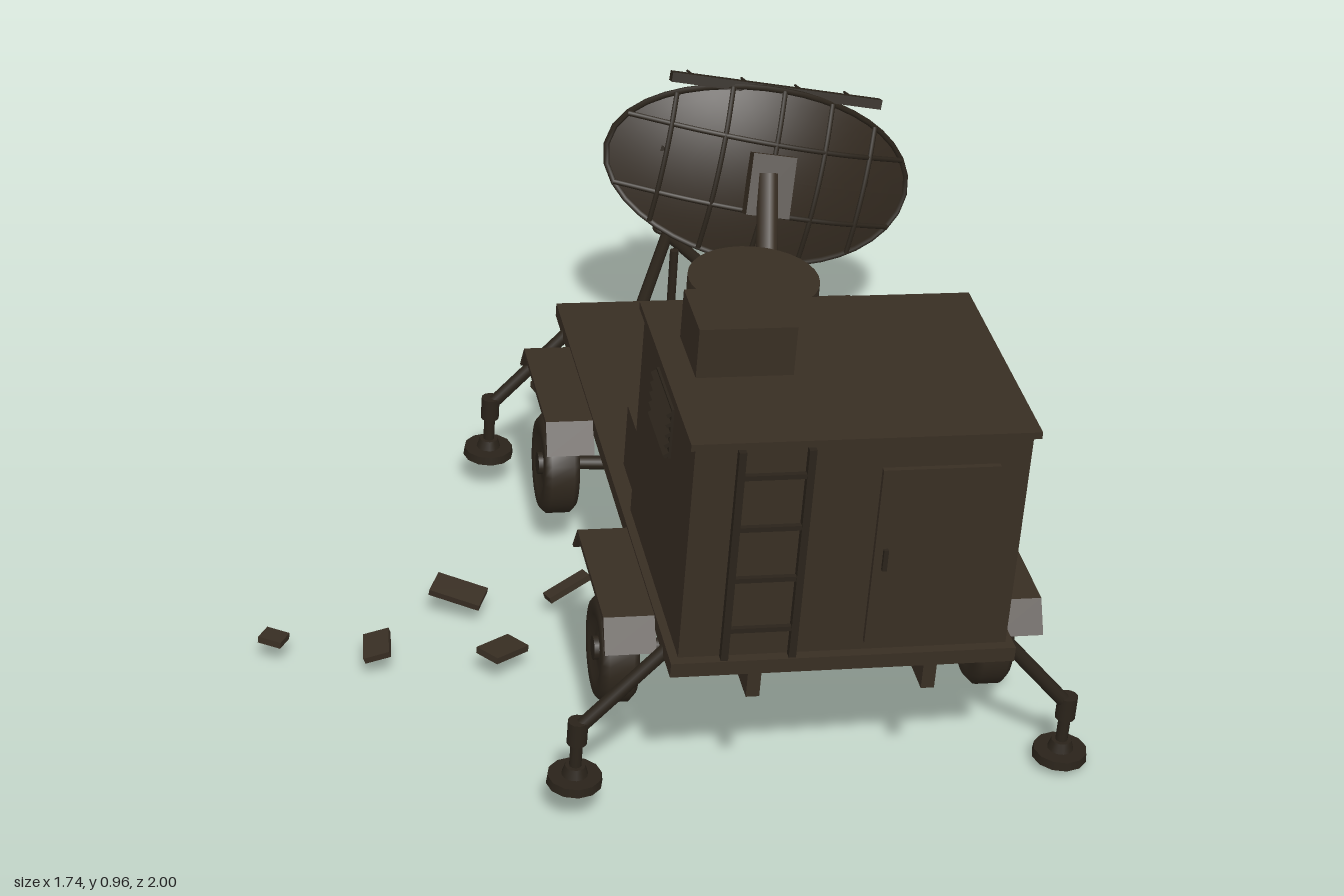
import * as THREE from 'three';

const paint = new THREE.MeshStandardMaterial({ color: 0x382e23 });
const metal = new THREE.MeshStandardMaterial({ color: 0x2a231a });
const rubber = new THREE.MeshStandardMaterial({ color: 0x2f271d });
const dishPaint = new THREE.MeshStandardMaterial({ color: 0x32291f, side: THREE.DoubleSide });

const V = (x, y, z) => new THREE.Vector3(x, y, z);
const shape = pts => new THREE.Shape(pts.map(p => new THREE.Vector2(...p)));

function add(parent, name, geo, mat, pos = [0, 0, 0], rot = [0, 0, 0]) {
  const m = new THREE.Mesh(geo, mat);
  m.name = name;
  m.position.set(...pos);
  m.rotation.set(...rot);
  parent.add(m);
  return m;
}

// box given by its min and max corners
function block(parent, name, mat, [x0, x1], [y0, y1], [z0, z1]) {
  return add(parent, name, new THREE.BoxGeometry(x1 - x0, y1 - y0, z1 - z0), mat,
    [(x0 + x1) / 2, (y0 + y1) / 2, (z0 + z1) / 2]);
}

// round bar between two points
function rod(parent, name, a, b, r, mat = metal, sides = 10) {
  const m = add(parent, name, new THREE.CylinderGeometry(r, r, a.distanceTo(b), sides), mat);
  m.position.copy(a).lerp(b, 0.5);
  m.quaternion.setFromUnitVectors(V(0, 1, 0), b.clone().sub(a).normalize());
  return m;
}

function group(parent, name) {
  const g = new THREE.Group();
  g.name = name;
  parent.add(g);
  return g;
}

function buildShelter(trailer) {
  const g = group(trailer, 'shelter');
  block(g, 'shelterWalls', paint, [-0.316, 0.318], [0, 0.455], [0.458, 0.974]);
  block(g, 'shelterRoof', paint, [-0.326, 0.331], [0.454, 0.468], [0.448, 0.982]);
  block(g, 'roofUnit', paint, [-0.273, -0.086], [0.468, 0.57], [0.588, 0.745]);
  block(g, 'door', paint, [0.037, 0.26], [0.02, 0.4], [0.974, 0.985]);
  block(g, 'doorHandle', metal, [0.053, 0.062], [0.185, 0.23], [0.985, 0.993]);
  // ladder
  for (const x of [-0.231, -0.101]) block(g, 'ladderRail', metal, [x - 0.007, x + 0.007], [0, 0.453], [0.976, 0.992]);
  for (let i = 0; i < 4; i++) {
    const y = 0.064 + i * 0.111;
    block(g, 'ladderRung', metal, [-0.231, -0.101], [y - 0.005, y + 0.005], [0.98, 0.99]);
  }
  // louvred vents on both side walls
  for (const s of [-1, 1]) {
    add(g, 'ventPanel', new THREE.BoxGeometry(0.006, 0.105, 0.16), metal, [s * 0.318, 0.369, 0.7]);
    for (let i = 0; i < 5; i++) {
      add(g, 'ventSlat', new THREE.BoxGeometry(0.022, 0.008, 0.16), metal, [s * 0.32, 0.325 + i * 0.022, 0.7], [0, 0, -s * 0.5]);
    }
  }
}

function buildTurret(trailer) {
  const g = group(trailer, 'turret');
  g.position.set(0, 0, 0.033);
  add(g, 'turretBody', new THREE.CylinderGeometry(0.105, 0.105, 0.26, 32), paint, [0, 0.13, 0]);
  add(g, 'turretFlange', new THREE.CylinderGeometry(0.138, 0.138, 0.034, 32), paint, [0, 0.27, 0]);
  // radial gussets
  const fin = shape([[0.09, 0], [0.144, 0], [0.138, 0.03], [0.112, 0.15], [0.09, 0.15]]);
  const geo = new THREE.ExtrudeGeometry(fin, { depth: 0.014, bevelEnabled: false }).translate(0, 0, -0.007);
  for (const a of [0.7, Math.PI - 0.7, Math.PI + 0.7, -0.7]) add(g, 'turretGusset', geo, paint, [0, 0, 0], [0, a, 0]);
}

function buildRunningGear(trailer) {
  // dished wheel with tyre, closed to the hub
  const half = [[0.022, 0.03], [0.055, 0.026], [0.066, 0.036], [0.095, 0.037], [0.108, 0.024]];
  const profile = [...half.map(([r, y]) => [r, -y]), ...half.slice().reverse()].map(p => new THREE.Vector2(...p));
  const tyre = new THREE.LatheGeometry(profile, 28);
  // angled mudguard plate
  const guard = shape([[-0.195, -0.065], [-0.155, -0.005], [0.155, -0.005], [0.195, -0.065], [0.185, -0.065],
    [0.148, -0.016], [-0.148, -0.016], [-0.185, -0.065]]);
  const guardGeo = new THREE.ExtrudeGeometry(guard, { depth: 0.1, bevelEnabled: false }).translate(0, 0, -0.05).rotateY(-Math.PI / 2);
  // the rear axle has dropped on one side
  for (const [z, yLeft, yRight] of [[0.67, -0.181, -0.181], [-0.054, -0.236, -0.2]]) {
    rod(trailer, 'axle', V(0.37, yLeft, z), V(-0.37, yRight, z), 0.015);
    for (const [s, y] of [[1, yLeft], [-1, yRight]]) {
      const w = group(trailer, 'wheel');
      w.position.set(s * 0.377, y, z);
      w.rotation.z = Math.PI / 2;
      add(w, 'tyre', tyre, rubber);
      add(w, 'wheelHub', new THREE.CylinderGeometry(0.024, 0.024, 0.08, 16), metal);
      add(trailer, 'mudguard', guardGeo, paint, [s * 0.382, 0, z]);
      block(trailer, 'axleHanger', metal, [s * 0.17 - 0.015, s * 0.17 + 0.015], [y, -0.07], [z - 0.03, z + 0.03]);
    }
  }
}

function buildOutriggers(trailer) {
  for (const z of [0.91, -0.302]) for (const s of [-1, 1]) {
    const g = group(trailer, 'outrigger');
    rod(g, 'outriggerArm', V(s * 0.32, -0.02, z), V(s * 0.485, -0.2, z), 0.014);
    add(g, 'outriggerSleeve', new THREE.CylinderGeometry(0.02, 0.02, 0.05, 12), metal, [s * 0.484, -0.205, z]);
    rod(g, 'outriggerPost', V(s * 0.484, -0.19, z), V(s * 0.484, -0.31, z), 0.012);
    add(g, 'outriggerCollar', new THREE.CylinderGeometry(0.02, 0.026, 0.02, 12), metal, [s * 0.484, -0.293, z]);
    add(g, 'outriggerFoot', new THREE.CylinderGeometry(0.053, 0.055, 0.018, 12), metal, [s * 0.484, -0.313, z]);
  }
}

function buildTrailer(root) {
  const t = group(root, 'trailer');
  t.position.set(0.19, 0.373, 0);
  t.rotation.z = -0.067;
  // thin deck on two deep beams
  block(t, 'deck', paint, [-0.333, 0.333], [-0.03, 0], [-0.395, 0.995]);
  for (const s of [-1, 1]) block(t, 'chassisBeam', paint, [s * 0.17 - 0.013, s * 0.17 + 0.013], [-0.086, -0.03], [-0.39, 0.99]);
  buildShelter(t);
  buildTurret(t);
  buildRunningGear(t);
  buildOutriggers(t);
  block(t, 'equipmentBox', paint, [-0.3, -0.08], [0, 0.138], [0.285, 0.43]);
  // cable reel on the deck edge
  const reel = [0, 0, Math.PI / 2];
  add(t, 'reelDrum', new THREE.CylinderGeometry(0.07, 0.07, 0.085, 24), paint, [0.337, 0.09, 0.37], reel);
  add(t, 'reelFlange', new THREE.CylinderGeometry(0.096, 0.096, 0.014, 28), paint, [0.383, 0.09, 0.38], reel);
  // drawbar with towing eye and prop leg
  for (const s of [-1, 1]) rod(t, 'drawbar', V(s * 0.16, -0.062, -0.38), V(0, -0.066, -0.83), 0.014, metal, 8);
  add(t, 'towingEye', new THREE.TorusGeometry(0.022, 0.007, 8, 20), metal, [0, -0.066, -0.862], [Math.PI / 2, 0, 0]);
  rod(t, 'propLeg', V(0, -0.06, -0.74), V(0.003, -0.305, -0.74), 0.01);
  add(t, 'propFoot', new THREE.CylinderGeometry(0.032, 0.032, 0.012, 12), metal, [0.003, -0.31, -0.74]);
}

function buildAntenna(root) {
  const g = group(root, 'antenna');
  // toppled pedestal and neck
  add(g, 'pedestal', new THREE.CylinderGeometry(0.09, 0.09, 0.225, 28), paint, [0.347, 0.294, -0.445], [-0.46, 0, -0.07]);
  rod(g, 'neck', V(0.35, 0.36, -0.485), V(0.375, 0.56, -0.61), 0.025, paint, 12);
  add(g, 'yoke', new THREE.BoxGeometry(0.1, 0.14, 0.05), paint, [0.38, 0.53, -0.61], [-0.4, 0, -0.2]);

  const d = group(g, 'dish');
  d.position.set(0.386, 0.53, -0.64);
  d.rotation.set(-0.25, 0, -0.27, 'ZXY');
  const A = 0.363, B = 0.2, depth = (x, y) => -0.8 * (x * x + y * y);
  const bowl = new THREE.RingGeometry(0.001, 1, 48, 8).scale(A, B, 1);
  const p = bowl.attributes.position;
  for (let i = 0; i < p.count; i++) p.setZ(i, depth(p.getX(i), p.getY(i)));
  bowl.computeVertexNormals();
  add(d, 'reflector', bowl, dishPaint);
  const strip = (name, pts, closed, r) =>
    add(d, name, new THREE.TubeGeometry(new THREE.CatmullRomCurve3(pts, closed), 40, r, 6, closed), metal);
  strip('reflectorRim', Array.from({ length: 32 }, (_, i) => {
    const a = i / 32 * Math.PI * 2, x = A * Math.cos(a), y = B * Math.sin(a);
    return V(x, y, depth(x, y));
  }), true, 0.007);
  // ribs across the back of the bowl
  const us = [-1, -0.5, 0, 0.5, 1];
  for (const k of [-0.66, -0.33, 0, 0.33, 0.66]) {
    const c = Math.sqrt(1 - k * k);
    strip('verticalRib', us.map(u => V(k * A, u * c * B, depth(k * A, u * c * B) + 0.006)), false, 0.006);
  }
  for (const k of [-0.4, 0.4]) {
    const c = Math.sqrt(1 - k * k);
    strip('crossRib', us.map(u => V(u * c * A, k * B, depth(u * c * A, k * B) + 0.006)), false, 0.006);
  }
  // feed on three struts
  const feed = V(0, 0, -0.355);
  for (const [x, y] of [[-0.25, 0.02], [0.25, 0.02], [0, -B]]) rod(d, 'feedStrut', V(x, y, depth(x, y)), feed, 0.007);
  add(d, 'feedHorn', new THREE.CylinderGeometry(0.012, 0.017, 0.05, 12), metal, [0, 0, -0.345], [Math.PI / 2, 0, 0]);
  // auxiliary aerial bar with prongs
  const aerial = group(d, 'aerial');
  aerial.position.set(0, 0.197, -0.047);
  aerial.rotation.z = 0.04;
  block(aerial, 'aerialBar', metal, [-0.265, 0.235], [-0.011, 0.011], [-0.012, 0.012]);
  for (const x of [-0.2, -0.07, 0.06, 0.18]) rod(aerial, 'aerialProng', V(x, 0, 0), V(x, 0, -0.105), 0.003, metal, 6);
}

// scattered panels: x, y, z, width, length, turn
function buildDebris(root) {
  const pieces = [
    [-0.145, 0.065, -0.565, 0.035, 0.12, 0.17], [0.796, 0.07, -0.285, 0.12, 0.075, 0.6],
    [-0.447, 0.068, 0.205, 0.11, 0.06, -0.45], [-0.22, 0.065, 0.222, 0.1, 0.03, 0.35],
    [-0.385, 0.066, 0.425, 0.09, 0.06, 0.65], [-0.635, 0.064, 0.365, 0.055, 0.075, -0.1],
    [-0.84, 0.062, 0.297, 0.05, 0.045, -0.5], [0.02, 0.07, 0.3, 0.1, 0.06, 0.4],
    [0.36, 0.067, 0.28, 0.1, 0.07, 0.3], [0.45, 0.068, 0.37, 0.09, 0.07, -0.5],
    [0.46, 0.07, 0.22, 0.08, 0.06, 0.9], [0.33, 0.067, 0.53, 0.07, 0.05, 0.8],
  ];
  const g = group(root, 'debris');
  pieces.forEach(([x, y, z, w, l, turn], i) => {
    const tilt = x > 0.6 ? -0.35 : 0.3 * (i % 2 ? 1 : -0.5);
    add(g, 'brokenPanel', new THREE.BoxGeometry(w, 0.014, l), paint, [x, y, z], [0.12 * (i % 3 - 1), turn, tilt]);
  });
}

export function createModel() {
  const root = new THREE.Group();
  root.name = 'wreckedRadarTrailer';
  buildTrailer(root);
  buildAntenna(root);
  buildDebris(root);
  return root;
}
